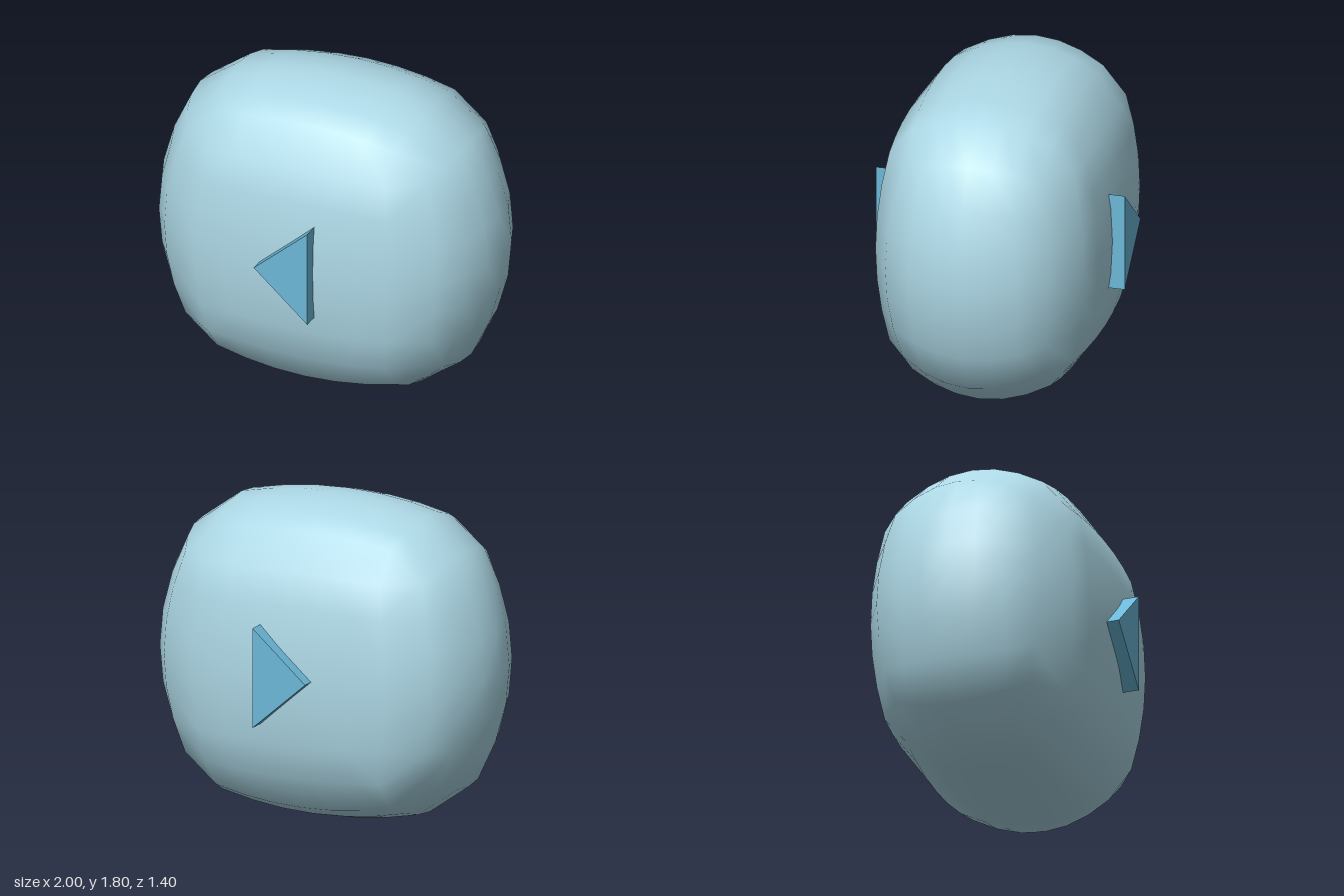
import * as THREE from 'three';
import { mergeVertices } from 'three/addons/utils/BufferGeometryUtils.js';

// Bulged box: six domed faces joined by bevel strips and corner triangles.
const CENTER_Y = 0.903;
const SEG = 6;
const HALF = [0.998, 0.9, 0.635];
// EDGE[a][b]: on face a, at the middle of its b edge: [height along a, reach along b]
const EDGE = [
  [null, [0.81, 0.66], [0.81, 0.465]],
  [[0.83, 0.575], null, [0.78, 0.41]],
  [[0.585, 0.575], [0.55, 0.58], null],
];
const CORNER_HEIGHT = [0.72, 0.72, 0.52];
const CORNER_REACH = [0.53, 0.56, 0.39];

// Point on the face of axis a; s holds the side (+-1) for a and -1..1 for the others
function facePoint(a, s) {
  const b = (a + 1) % 3, c = (a + 2) % 3;
  const b2 = s[b] ** 2, c2 = s[c] ** 2;
  const db = EDGE[a][b][0] - HALF[a], dc = EDGE[a][c][0] - HALF[a];
  const p = [0, 0, 0];
  p[a] = s[a] * (HALF[a] + db * b2 + dc * c2 + (CORNER_HEIGHT[a] - HALF[a] - db - dc) * b2 * c2);
  p[b] = s[b] * (EDGE[a][b][1] + (CORNER_REACH[b] - EDGE[a][b][1]) * c2);
  p[c] = s[c] * (EDGE[a][c][1] + (CORNER_REACH[c] - EDGE[a][c][1]) * b2);
  return new THREE.Vector3(...p);
}

function bodyGeometry() {
  const pos = [];
  // Triangles are turned to face away from the centre
  const tri = (p, q, r) => {
    const n = q.clone().sub(p).cross(r.clone().sub(p));
    const mid = p.clone().add(q).add(r);
    for (const v of n.dot(mid) > 0 ? [p, q, r] : [p, r, q]) pos.push(v.x, v.y, v.z);
  };
  const quad = (p, q, r, t) => { tri(p, q, r); tri(p, r, t); };
  const step = (i) => -1 + (2 * i) / SEG;

  for (let a = 0; a < 3; a++) {
    const b = (a + 1) % 3, c = (a + 2) % 3;
    for (const sa of [-1, 1]) {
      const at = (u, v) => {
        const s = [0, 0, 0];
        s[a] = sa; s[b] = u; s[c] = v;
        return s;
      };
      // Domed face
      for (let i = 0; i < SEG; i++) for (let j = 0; j < SEG; j++) {
        const [u0, u1, v0, v1] = [step(i), step(i + 1), step(j), step(j + 1)];
        quad(facePoint(a, at(u0, v0)), facePoint(a, at(u1, v0)),
          facePoint(a, at(u1, v1)), facePoint(a, at(u0, v1)));
      }
      // Bevel strips to the two faces of the next axis
      for (const sb of [-1, 1]) for (let j = 0; j < SEG; j++) {
        const s0 = at(sb, step(j)), s1 = at(sb, step(j + 1));
        quad(facePoint(a, s0), facePoint(a, s1), facePoint(b, s1), facePoint(b, s0));
      }
    }
  }
  // Corner triangles
  for (const x of [-1, 1]) for (const y of [-1, 1]) for (const z of [-1, 1]) {
    tri(...[0, 1, 2].map((a) => facePoint(a, [x, y, z])));
  }
  const geo = new THREE.BufferGeometry();
  geo.setAttribute('position', new THREE.Float32BufferAttribute(pos, 3));
  const merged = mergeVertices(geo, 1e-4);
  merged.computeVertexNormals();
  return merged;
}

export function createModel() {
  const group = new THREE.Group();

  const body = new THREE.Mesh(bodyGeometry(), new THREE.MeshStandardMaterial({ color: 0xadd8e6 }));
  body.name = 'body';
  body.position.y = CENTER_Y;
  group.add(body);

  // Triangular prism passing through the body, showing on front and back
  const shape = new THREE.Shape([
    new THREE.Vector2(-0.17, 0),
    new THREE.Vector2(0.15, -0.28),
    new THREE.Vector2(0.15, 0.28),
  ]);
  const prism = new THREE.ExtrudeGeometry(shape, { depth: 1.4, bevelEnabled: false });
  prism.translate(0, 0, -0.7);
  const arrow = new THREE.Mesh(prism, new THREE.MeshStandardMaterial({ color: 0x6cb8d8 }));
  arrow.name = 'triangleMarker';
  arrow.position.y = CENTER_Y;
  group.add(arrow);

  return group;
}
